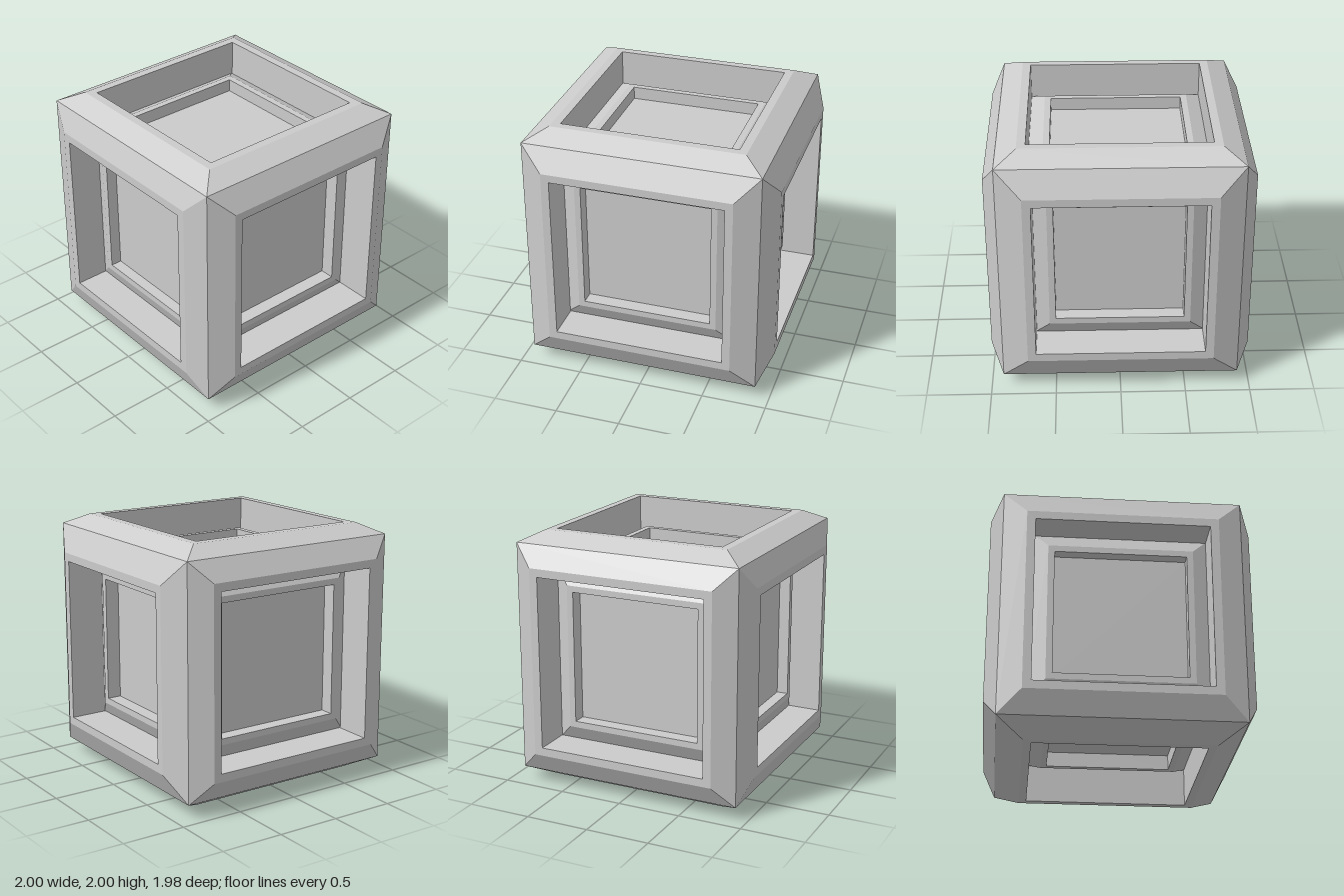
import * as THREE from 'three';

const CORNER = 0.905; // half size of the corner cube of a frame
const CENTRE = [0, 1.013, 0.013];

// Per side: direction, height of the raised face, half width of its rim, half width of its window
const SIDES = [
  ['right', [1, 0, 0], 1.0, 0.725, 0.663],
  ['left', [-1, 0, 0], 1.0, 0.744, 0.68],
  ['top', [0, 1, 0], 0.987, 0.745, 0.68],
  ['bottom', [0, -1, 0], 1.013, 0.706, 0.645],
  ['front', [0, 0, 1], 0.972, 0.727, 0.662],
  ['back', [0, 0, -1], 1.003, 0.709, 0.645],
];

const material = new THREE.MeshStandardMaterial({
  color: 0xcccccc, flatShading: true, side: THREE.DoubleSide,
});

// One side of a frame: sloped bevel, flat rim and window walls, swept as a four-sided lathe
function frameSide(height, rim, window) {
  const profile = [[CORNER, CORNER], [rim, height], [window, height], [window, window]]
    .map(([half, y]) => new THREE.Vector2(half * Math.SQRT2, y));
  const geometry = new THREE.LatheGeometry(profile, 4, Math.PI / 4).toNonIndexed();
  geometry.computeVertexNormals();
  return geometry;
}

// Hollow cube frame with a square window on every side
function cubeFrame(name) {
  const frame = new THREE.Group();
  frame.name = name;
  const up = new THREE.Vector3(0, 1, 0);
  for (const [side, direction, height, rim, window] of SIDES) {
    const mesh = new THREE.Mesh(frameSide(height, rim, window), material);
    mesh.name = side + 'Side';
    mesh.quaternion.setFromUnitVectors(up, new THREE.Vector3(...direction));
    frame.add(mesh);
  }
  frame.position.set(...CENTRE);
  return frame;
}

export function createModel() {
  const model = new THREE.Group();
  model.name = 'nestedCubeFrames';

  const outer = cubeFrame('outerFrame');

  // Same frame, smaller, sitting inside the first
  const inner = cubeFrame('innerFrame');
  inner.scale.setScalar(0.765);
  inner.position.set(0, 1.02, 0.02);

  // Solid block behind the inner windows
  const core = new THREE.Mesh(new THREE.BoxGeometry(1.31, 1.31, 1.31), material);
  core.name = 'core';
  core.position.copy(inner.position);

  model.add(outer, inner, core);
  return model;
}
